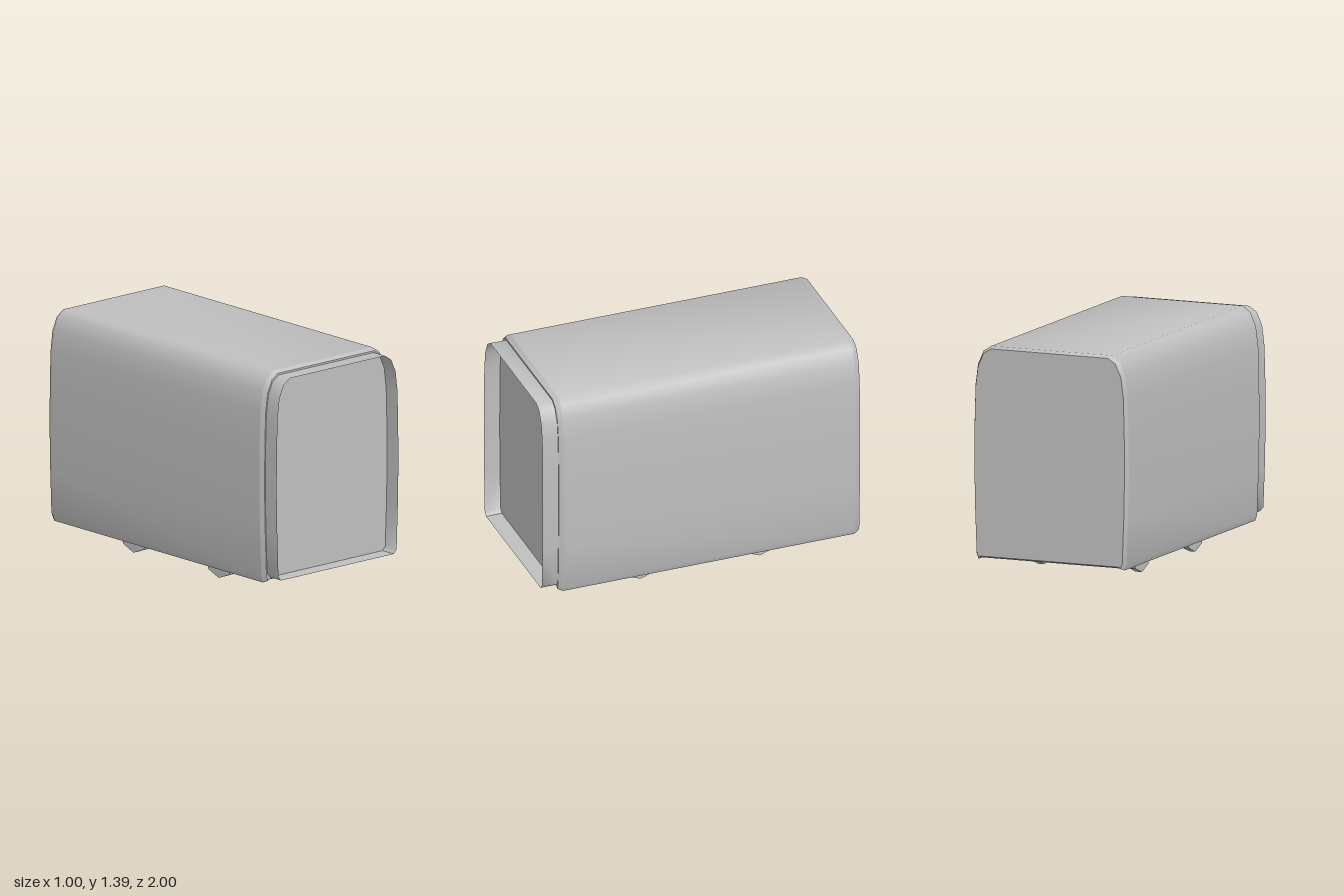
import * as THREE from 'three';
import { toCreasedNormals, mergeGeometries } from 'three/addons/utils/BufferGeometryUtils.js';

// Right half of the body cross-section, bottom to top, with a small lip at the floor edge
const half = [
  [0.462, 0.12], [0.472, 0.11], [0.485, 0.145], [0.495, 0.42], [0.5, 0.68],
  [0.498, 0.93], [0.492, 1.15], [0.476, 1.275], [0.44, 1.355], [0.39, 1.388],
];

// Closed counter-clockwise section, scaled about its centre
function section(points, sx, sy) {
  const right = points.map(([x, y]) => new THREE.Vector2(x * sx, 0.754 + (y - 0.754) * sy));
  const left = right.map(p => new THREE.Vector2(-p.x, p.y)).reverse();
  return [...right, ...left];
}

// Wall between two sections of equal point count
function wall(a, za, b, zb) {
  const pos = [];
  a.forEach((p, i) => {
    const j = (i + 1) % a.length;
    const p2 = a[j], q = b[i], q2 = b[j];
    pos.push(p.x, p.y, za, p2.x, p2.y, za, q2.x, q2.y, zb);
    pos.push(p.x, p.y, za, q2.x, q2.y, zb, q.x, q.y, zb);
  });
  const g = new THREE.BufferGeometry();
  g.setAttribute('position', new THREE.Float32BufferAttribute(pos, 3));
  return toCreasedNormals(g, 0.8);
}

// Flat end closing a section
function cap(s, z, facesFront) {
  const pos = [];
  for (const f of THREE.ShapeUtils.triangulateShape(s, [])) {
    const order = facesFront ? f : [f[0], f[2], f[1]];
    for (const i of order) pos.push(s[i].x, s[i].y, z);
  }
  const g = new THREE.BufferGeometry();
  g.setAttribute('position', new THREE.Float32BufferAttribute(pos, 3));
  g.computeVertexNormals();
  return g;
}

export function createModel() {
  const model = new THREE.Group();
  model.name = 'carriage';
  const grey = new THREE.MeshStandardMaterial({ color: 0xbfbfbf, side: THREE.DoubleSide });
  grey.name = 'plain grey';
  const add = (geometry, name) => {
    const mesh = new THREE.Mesh(geometry, grey);
    mesh.name = name;
    model.add(mesh);
    return mesh;
  };

  // Body shell with bevelled ends
  const full = section(half, 1, 1);
  const end = section(half, 0.972, 0.98);
  add(mergeGeometries([
    wall(full, -0.97, full, 0.87),
    wall(end, -1, full, -0.97),
    wall(full, 0.87, end, 0.9),
  ]), 'bodyShell');
  add(cap(end, -1, false), 'backPanel');
  add(cap(end, 0.9, true), 'frontPanel');

  // Open collar around the front panel
  const collar = section(half.filter((p, i) => i !== 1), 0.96, 0.963);
  add(wall(collar, 0.9, collar, 1), 'frontCollar');

  // Underfloor plates and half-sunk wheels
  const outline = [[-0.118, 0.122], [-0.116, 0.105], [-0.09, 0.037], [0, 0.002], [0.09, 0.037], [0.116, 0.105], [0.118, 0.122]];
  const wheel = new THREE.ExtrudeGeometry(
    new THREE.Shape(outline.map(([z, y]) => new THREE.Vector2(z, y))),
    { depth: 0.04, bevelEnabled: false },
  );
  wheel.translate(0, 0, -0.02).rotateY(-Math.PI / 2);
  for (const side of [-1, 1]) {
    const name = side > 0 ? 'left' : 'right';
    add(new THREE.BoxGeometry(0.085, 0.017, 0.99), name + 'UnderfloorPlate')
      .position.set(side * 0.3375, 0.1135, -0.05);
    for (const [z, place] of [[0.325, 'Front'], [-0.427, 'Rear']]) {
      add(wheel, name + place + 'Wheel').position.set(side * 0.315, 0, z);
    }
  }
  return model;
}
